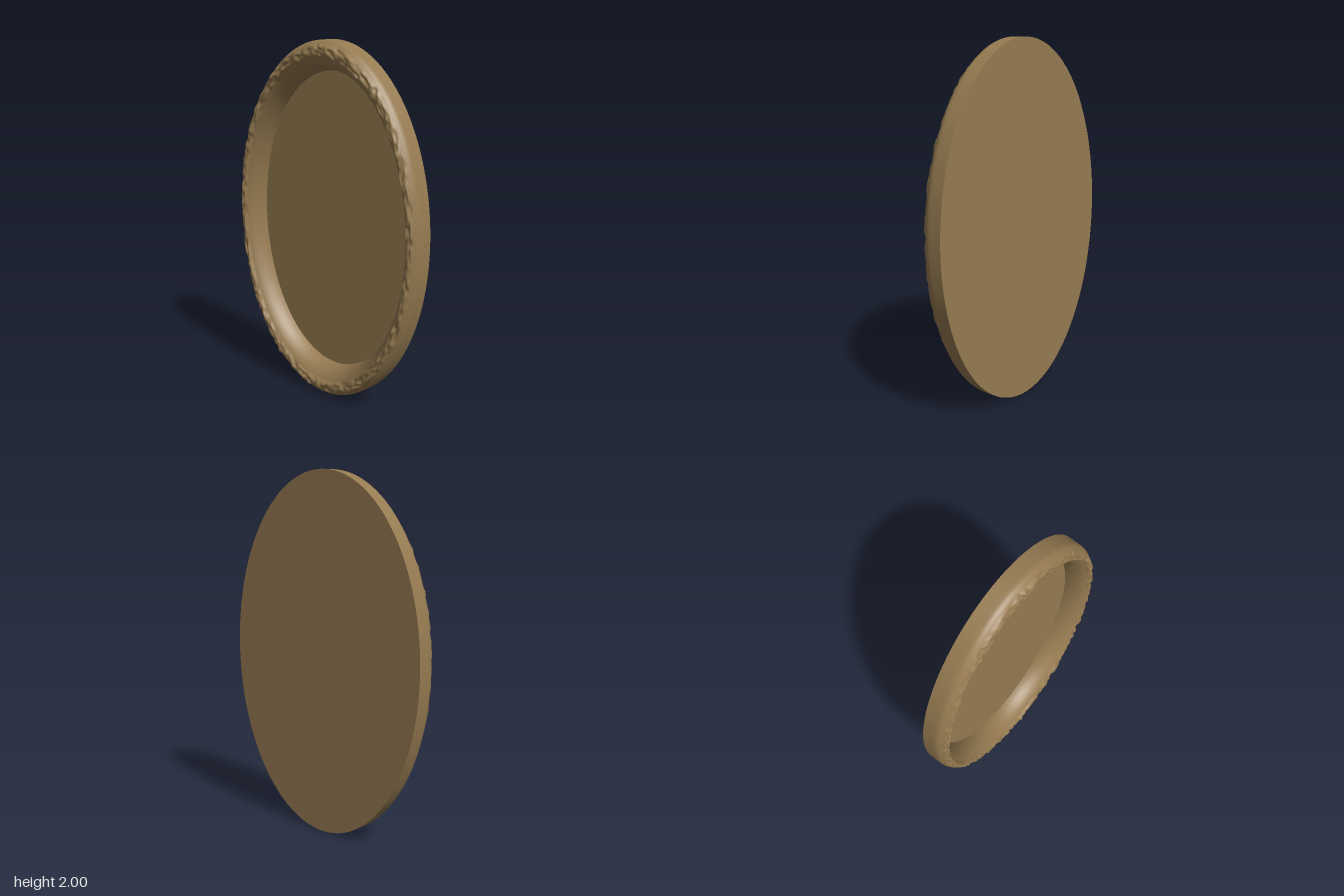
import * as THREE from 'three';

const OVAL = 0.665;            // width of the oval relative to its height
const SEG = 480;               // steps around the frame
const BACK = -0.073, PANEL = -0.068;

// Repeatable hash and smooth noise, periodic around the frame
const hash = (a, b) => {
  const s = Math.sin(a * 127.1 + b * 311.7) * 43758.5453;
  return s - Math.floor(s);
};
function noise(u, v, period) {
  const i = Math.floor(u), j = Math.floor(v);
  const f = u - i, g = v - j;
  const s = f * f * (3 - 2 * f), t = g * g * (3 - 2 * g);
  const h = (a, b) => hash(((a % period) + period) % period, b);
  return (h(i, j) * (1 - s) + h(i + 1, j) * s) * (1 - t)
    + (h(i, j + 1) * (1 - s) + h(i + 1, j + 1) * s) * t;
}

// Carved relief height on the crest of the moulding
function relief(r, angle) {
  const band = THREE.MathUtils.smoothstep(r, 0.9, 0.925) * (1 - THREE.MathUtils.smoothstep(r, 0.968, 0.985));
  const turn = angle / (Math.PI * 2);
  const fine = noise(turn * 170, r * 60, 170);
  const broad = noise(turn * 60, r * 25 + 9, 60);
  let h = band * (fine * 0.017 + broad * 0.009 - 0.006);
  // Three larger bosses spaced evenly around the crest
  for (const a of [30, 150, 270]) {
    const c = THREE.MathUtils.degToRad(a);
    const dx = r * Math.cos(angle) - 0.942 * Math.cos(c);
    const dy = r * Math.sin(angle) - 0.942 * Math.sin(c);
    const d = Math.hypot(dx, dy) / 0.03;
    if (d < 1) h = Math.max(h, 0.02 * Math.sqrt(1 - d * d));
  }
  return h;
}

// Sweeps a list of [radius, z] rows around the oval
function sweep(rows, carve) {
  const pos = [], index = [];
  for (const [r, z] of rows) {
    for (let j = 0; j < SEG; j++) {
      const a = (j / SEG) * Math.PI * 2;
      pos.push(r * Math.cos(a) * OVAL, r * Math.sin(a), z + (carve ? relief(r, a) : 0));
    }
  }
  for (let i = 0; i < rows.length - 1; i++) {
    for (let j = 0; j < SEG; j++) {
      const k = (j + 1) % SEG;
      const a = i * SEG + j, b = a + SEG, c = (i + 1) * SEG + k, d = i * SEG + k;
      index.push(a, b, c, a, c, d);
    }
  }
  const g = new THREE.BufferGeometry();
  g.setAttribute('position', new THREE.Float32BufferAttribute(pos, 3));
  g.setIndex(index);
  g.computeVertexNormals();
  return g;
}

export function createModel() {
  const group = new THREE.Group();
  const wood = new THREE.MeshStandardMaterial({ color: 0x967b51 });
  wood.name = 'warm brown wood';

  const add = (name, geometry) => {
    const mesh = new THREE.Mesh(geometry, wood);
    mesh.name = name;
    mesh.position.y = 1;
    group.add(mesh);
    return mesh;
  };

  // Moulding: inner cove, carved crest and rounded outer shoulder
  const profile = new THREE.CatmullRomCurve3([
    [0.837, PANEL], [0.842, -0.04], [0.855, -0.008], [0.875, 0.02], [0.9, 0.041], [0.925, 0.05],
    [0.95, 0.05], [0.974, 0.042], [0.99, 0.028], [0.998, 0.012], [1, -0.006], [1, BACK],
  ].map(([r, z]) => new THREE.Vector3(r, z, 0)), false, 'centripetal');
  const rows = profile.getSpacedPoints(64).map((p) => [Math.min(p.x, 1), p.y]);
  add('frameMoulding', sweep(rows, true));

  // Flat ring on the back of the frame
  add('frameBack', sweep([[1, BACK], [0.837, BACK]], false));

  // Recessed oval panel, with its flush rear face
  const disc = new THREE.CircleGeometry(0.837, SEG);
  disc.scale(OVAL, 1, 1);
  add('panelFront', disc).position.z = PANEL;
  const rear = add('panelBack', disc);
  rear.position.z = BACK;
  rear.rotation.y = Math.PI;

  return group;
}
